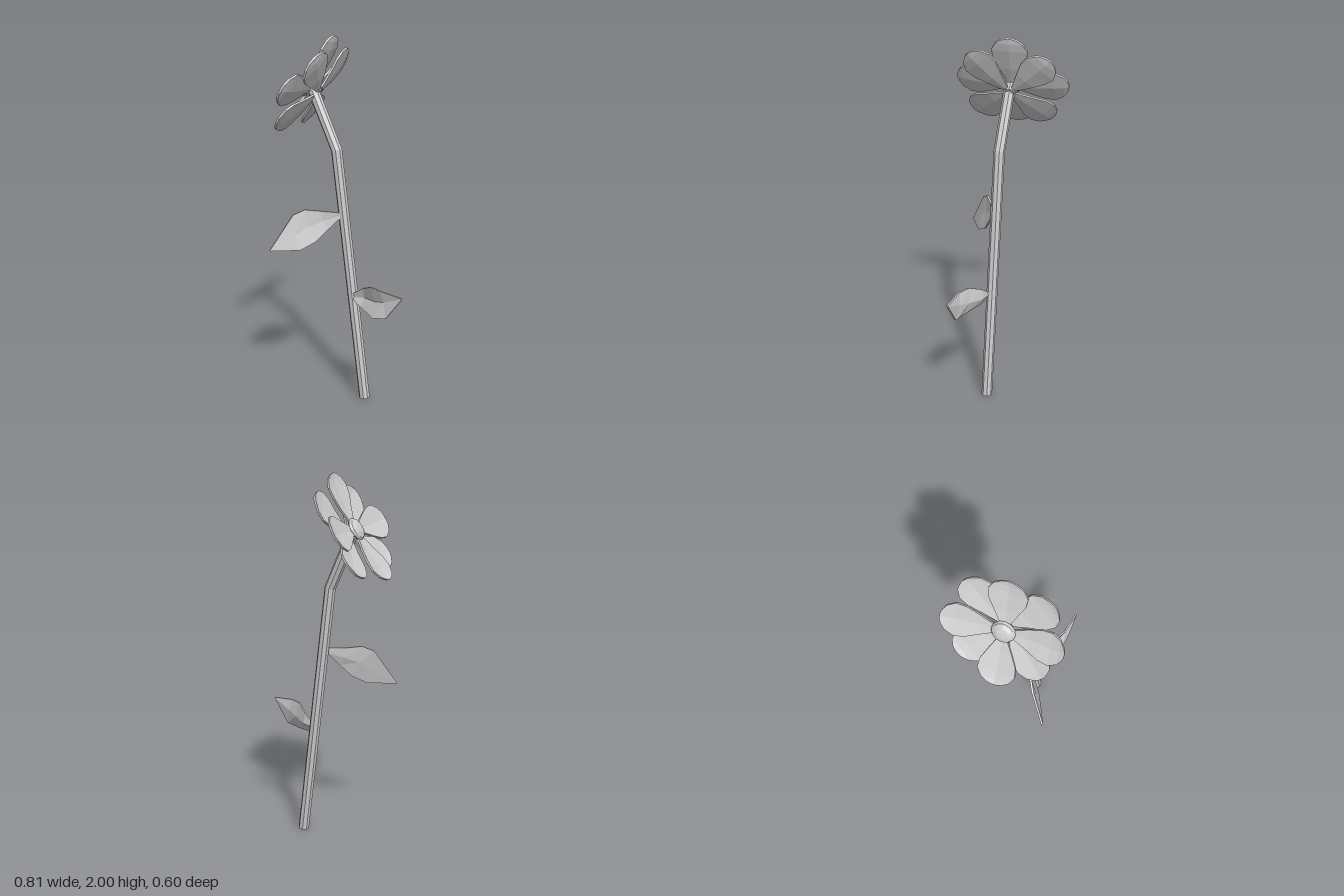
import * as THREE from 'three';

const stemMat = new THREE.MeshStandardMaterial({ color: 0xcccccc, flatShading: true });
const thinMat = new THREE.MeshStandardMaterial({ color: 0xcccccc, flatShading: true, side: THREE.DoubleSide });

function mesh(name, geometry, material) {
  const m = new THREE.Mesh(geometry, material);
  m.name = name;
  return m;
}

// Closed thin slab: each row of points is paired with a copy moved by the offset
function slab(rows, offset) {
  const rings = rows.map(row => {
    const top = row.map(p => new THREE.Vector3(...p));
    const under = top.map(p => p.clone().add(offset)).reverse();
    return [...top, ...under];
  });
  const n = rings[0].length, pos = [], idx = [];
  for (const ring of rings) for (const p of ring) pos.push(p.x, p.y, p.z);
  for (let i = 0; i < rings.length - 1; i++) {
    for (let j = 0; j < n; j++) {
      const a = i * n + j, b = i * n + (j + 1) % n;
      idx.push(a, a + n, b, b, a + n, b + n);
    }
  }
  const last = (rings.length - 1) * n;
  for (let j = 1; j < n - 1; j++) {
    idx.push(0, j, j + 1, last, last + j + 1, last + j);
  }
  const g = new THREE.BufferGeometry();
  g.setAttribute('position', new THREE.Float32BufferAttribute(pos, 3));
  g.setIndex(idx);
  const flat = g.toNonIndexed();
  flat.computeVertexNormals();
  return flat;
}

// Octagonal stem, bent once below the flower
function makeStem() {
  const levels = [[0.122, 0.004, 0.128], [-0.06, 1.41, 0.29], [-0.203, 1.71, 0.45]];
  const g = new THREE.CylinderGeometry(0.03, 0.03, 2, 8, 2);
  g.rotateY(Math.PI / 8);
  const p = g.attributes.position;
  for (let i = 0; i < p.count; i++) {
    const [cx, cy, tilt] = levels[Math.round(p.getY(i)) + 1];
    const x = p.getX(i);
    p.setXY(i, cx + x * Math.cos(tilt), cy + x * Math.sin(tilt));
  }
  g.computeVertexNormals();
  return mesh('stem', g, stemMat);
}

// Petal along +z, slightly cupped; rows are [distance, half width, height]
function petalGeometry() {
  const profile = [
    [0.03, 0.016, -0.035], [0.12, 0.06, -0.026], [0.18, 0.088, -0.016],
    [0.23, 0.094, -0.01], [0.272, 0.07, -0.004], [0.292, 0.038, 0], [0.3, 0.012, 0],
  ];
  const rows = profile.map(([r, w, h]) => [[w, h, r], [0, h - w * 0.1, r], [-w, h, r]]);
  return slab(rows, new THREE.Vector3(0, -0.011, 0));
}

function makeFlower() {
  const flower = new THREE.Group();
  flower.name = 'flower';

  // Two layers of four petals, the rear one turned by 45 degrees
  const petal = petalGeometry();
  for (let k = 0; k < 8; k++) {
    const rear = k % 2 === 1;
    const m = mesh(rear ? 'rearPetal' : 'frontPetal', petal, thinMat);
    m.rotation.y = k * Math.PI / 4;
    m.position.y = rear ? -0.04 : 0;
    flower.add(m);
  }

  // Low domed centre and the small base that joins the petals to the stem
  const dome = [[0, -0.045], [0.05, -0.045], [0.06, -0.032], [0.052, -0.02], [0.03, -0.01], [0, -0.007]];
  flower.add(mesh('flowerCentre', new THREE.LatheGeometry(dome.map(p => new THREE.Vector2(...p)), 12), stemMat));
  const base = mesh('flowerBase', new THREE.CylinderGeometry(0.035, 0.026, 0.05, 8), stemMat);
  base.position.y = -0.065;
  flower.add(base);

  // Tilt the head up and to the side
  const normal = new THREE.Vector3(-0.849, 0.514, 0.115).normalize();
  const up = new THREE.Vector3(0.503, 0.856, -0.117);
  const side = new THREE.Vector3().crossVectors(normal, up).normalize();
  up.crossVectors(side, normal);
  flower.quaternion.setFromRotationMatrix(new THREE.Matrix4().makeBasis(side, normal, up));
  flower.position.set(-0.252, 1.743, 0);
  return flower;
}

export function createModel() {
  const model = new THREE.Group();
  model.name = 'flowerOnStem';
  model.add(makeStem(), makeFlower());

  // Leaf rows run from stem to tip: upper edge, midrib, lower edge
  const lowerLeaf = [
    [[0.05, 0.625, 0.02], [0.05, 0.612, 0.018], [0.05, 0.598, 0.02]],
    [[0.13, 0.68, 0.035], [0.13, 0.622, 0.025], [0.12, 0.575, 0.05]],
    [[0.2, 0.715, 0.075], [0.22, 0.635, 0.068], [0.23, 0.556, 0.105]],
    [[0.27, 0.717, 0.1], [0.29, 0.655, 0.09], [0.31, 0.57, 0.105]],
    [[0.403, 0.706, 0.105], [0.403, 0.703, 0.105], [0.403, 0.7, 0.105]],
  ];
  const upperLeaf = [
    [[-0.03, 1.078, 0.022], [-0.03, 1.065, 0.02], [-0.03, 1.045, 0.022]],
    [[-0.12, 1.083, 0.065], [-0.11, 1.03, 0.06], [-0.08, 0.985, 0.06]],
    [[-0.19, 1.092, 0.115], [-0.17, 1.0, 0.112], [-0.13, 0.92, 0.105]],
    [[-0.24, 1.065, 0.155], [-0.22, 0.96, 0.165], [-0.19, 0.878, 0.165]],
    [[-0.322, 0.88, 0.258], [-0.322, 0.878, 0.258], [-0.322, 0.876, 0.258]],
  ];
  model.add(mesh('lowerLeaf', slab(lowerLeaf, new THREE.Vector3(0, 0, -0.01)), thinMat));
  model.add(mesh('upperLeaf', slab(upperLeaf, new THREE.Vector3(0.008, 0, 0.008)), thinMat));
  return model;
}
